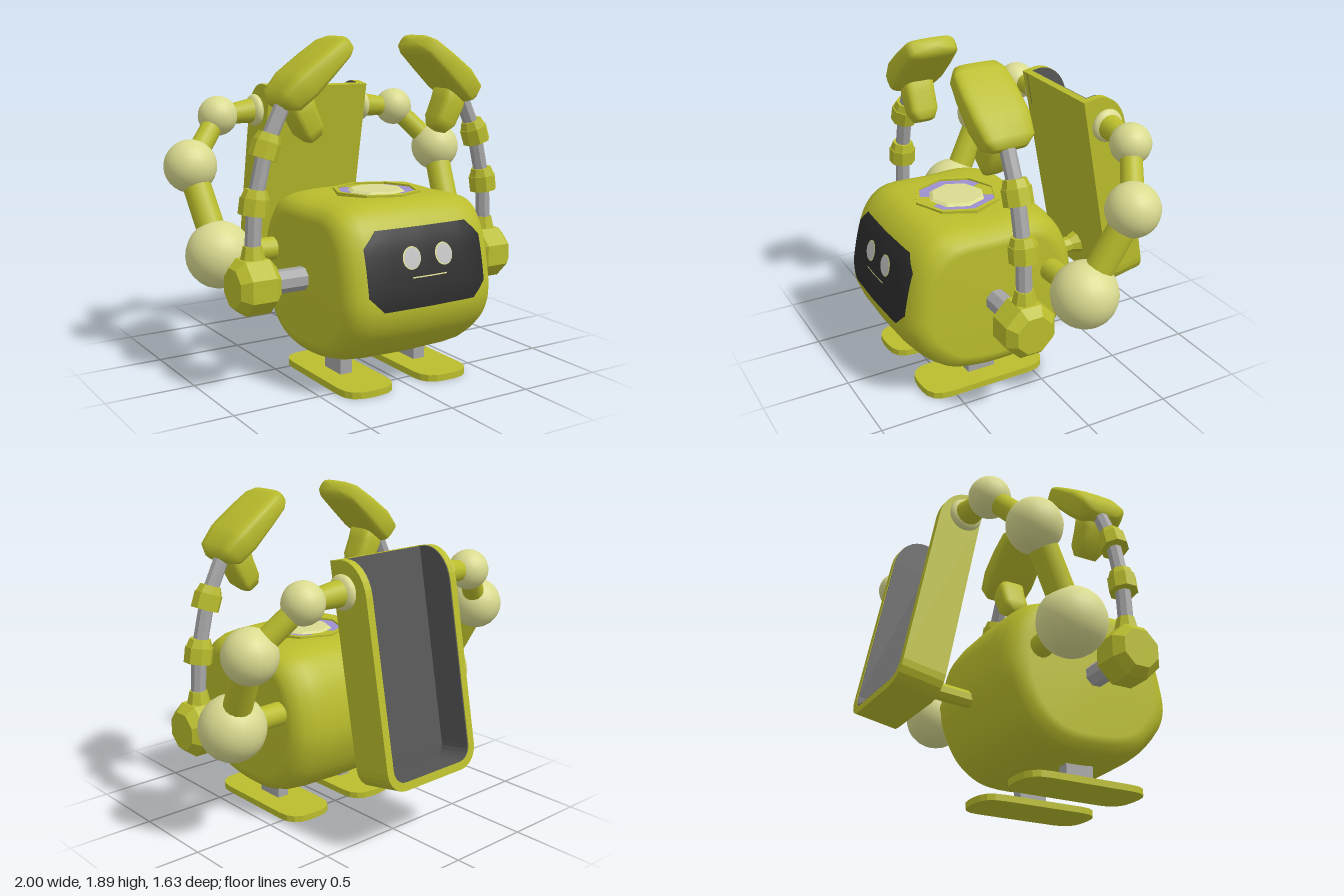
import * as THREE from 'three';

const mat = (name, color) => {
  const m = new THREE.MeshStandardMaterial({ color });
  m.name = name;
  return m;
};
const V = (x, y, z) => new THREE.Vector3(x, y, z);

// Facet a geometry so that every face shades flat
function flat(g) {
  const f = g.index ? g.toNonIndexed() : g;
  f.computeVertexNormals();
  return f;
}

// Smooth skin over rings of points, each counter-clockwise about the travel direction, with closed ends
function loft(rings) {
  const n = rings[0].length, pos = [], idx = [];
  rings.forEach(r => r.forEach(p => pos.push(p.x, p.y, p.z)));
  for (let i = 0; i < rings.length - 1; i++) {
    for (let j = 0; j < n; j++) {
      const a = i * n + j, b = i * n + (j + 1) % n;
      idx.push(a, b, b + n, a, b + n, a + n);
    }
  }
  [0, rings.length - 1].forEach(k => {
    const c = rings[k].reduce((s, p) => s.add(p), V(0, 0, 0)).divideScalar(n);
    const ci = pos.length / 3;
    pos.push(c.x, c.y, c.z);
    for (let j = 0; j < n; j++) {
      const a = k * n + j, b = k * n + (j + 1) % n;
      if (k) idx.push(ci, a, b); else idx.push(ci, b, a);
    }
  });
  const g = new THREE.BufferGeometry();
  g.setAttribute('position', new THREE.Float32BufferAttribute(pos, 3));
  g.setIndex(idx);
  g.computeVertexNormals();
  return g;
}

// Rounded-rectangle sections [x, y, halfThickness, halfWidth] along a path in the xy plane
function mitt(sections, s) {
  const rp = t => Math.sign(t) * Math.pow(Math.abs(t), 0.5);
  return loft(sections.map(([x, y, t, w], i) => {
    const p = sections[Math.max(0, i - 1)], q = sections[Math.min(sections.length - 1, i + 1)];
    const dir = V((q[0] - p[0]) * s, q[1] - p[1], 0).normalize();
    const u = V(0, 0, 1), v = dir.clone().cross(u);
    return Array.from({ length: 24 }, (_, k) => {
      const a = k / 24 * Math.PI * 2;
      return V(x * s, y, 0.28).addScaledVector(u, w * rp(Math.cos(a))).addScaledVector(v, t * rp(Math.sin(a)));
    });
  }));
}

export function createModel() {
  const root = new THREE.Group();
  root.name = 'robot';
  const yellow = mat('yellowGreen', 0xbabd2c), cream = mat('paleYellow', 0xdadb90);
  const grey = mat('metalGrey', 0xa6a6a6), dark = mat('screenBlack', 0x2c2c2c);
  const lining = mat('liningGrey', 0x565656), purple = mat('purple', 0x9c90cf);
  const white = mat('eyeGrey', 0xc4c4c4);

  const add = (name, geo, m, parent = root) => {
    const mesh = new THREE.Mesh(geo, m);
    mesh.name = name;
    parent.add(mesh);
    return mesh;
  };
  // Cylinder or cone between two points; low side counts are faceted
  const limb = (name, a, b, ra, rb, m, seg = 8) => {
    let g = new THREE.CylinderGeometry(rb, ra, a.distanceTo(b), seg);
    if (seg <= 8) g = flat(g.rotateY(Math.PI / 8));
    const mesh = add(name, g, m);
    mesh.position.copy(a).lerp(b, 0.5);
    mesh.quaternion.setFromUnitVectors(V(0, 1, 0), b.clone().sub(a).normalize());
    return mesh;
  };
  const ball = (name, c, r, m) =>
    add(name, new THREE.SphereGeometry(r, 20, 14), m).position.copy(c);

  // Body: side profile [z, y] scaled down towards both flanks
  const profile = [[0, 1.03], [0.28, 1.03], [0.55, 1.03], [0.64, 0.99], [0.72, 0.89], [0.79, 0.64], [0.805, 0.49],
    [0.77, 0.38], [0.70, 0.29], [0.58, 0.19], [0.38, 0.14], [0.09, 0.14], [-0.03, 0.18], [-0.15, 0.28],
    [-0.245, 0.47], [-0.265, 0.62], [-0.22, 0.84], [-0.12, 0.98]].map(([z, y]) => V(0, y, z));
  const outline = new THREE.CatmullRomCurve3(profile, true).getPoints(72).slice(0, -1);
  const half = [[0.47, 0.74], [0.46, 0.83], [0.42, 0.92], [0.35, 0.967], [0.25, 0.988]];
  const stations = [...half.map(([x, k]) => [-x, k]), [0, 1], ...half.slice().reverse()];
  const body = add('body', loft(stations.map(([x, k]) =>
    outline.map(p => V(x, 0.59 + (p.y - 0.59) * k, 0.27 + (p.z - 0.27) * k)))), yellow);
  body.updateMatrixWorld();

  // Lay a flat sheet on the front of the body
  const ray = new THREE.Raycaster();
  const drape = (g, lift) => {
    const p = g.attributes.position;
    for (let i = 0; i < p.count; i++) {
      ray.set(V(p.getX(i), p.getY(i), 3), V(0, 0, -1));
      const hit = ray.intersectObject(body)[0];
      p.setZ(i, (hit ? hit.point.z : 0.75) + lift);
    }
    g.computeVertexNormals();
    return g;
  };

  // Face screen with cut corners
  const screen = new THREE.PlaneGeometry(0.74, 0.41, 20, 10);
  const sp = screen.attributes.position;
  for (let i = 0; i < sp.count; i++) {
    const cut = Math.max(0, Math.abs(sp.getY(i)) - 0.123);
    sp.setX(i, sp.getX(i) * (0.37 - cut) / 0.37);
  }
  add('faceScreen', drape(screen.translate(0, 0.705, 0), 0.007), dark);
  for (const s of [-1, 1]) {
    const eye = (r, lift) => drape(new THREE.CircleGeometry(r, 20).scale(0.93, 1, 1)
      .rotateZ(s * 0.4).translate(s * 0.102, 0.76, 0), lift);
    add('eyeOutline', eye(0.06, 0.012), cream);
    add('eye', eye(0.054, 0.016), white);
  }
  add('mouth', drape(new THREE.PlaneGeometry(0.22, 0.007, 8, 1).translate(0, 0.66, 0), 0.013), cream);

  // Octagonal hatch on top
  const oct = r => Array.from({ length: 8 }, (_, i) =>
    new THREE.Vector2(r * Math.sin(i * Math.PI / 4), r * Math.cos(i * Math.PI / 4)));
  const rim = new THREE.Shape(oct(0.25));
  rim.holes.push(new THREE.Path(oct(0.225).reverse()));
  add('hatchRim', new THREE.ExtrudeGeometry(rim, { depth: 0.045, bevelEnabled: false })
    .rotateX(-Math.PI / 2).translate(0, 1.0, 0.28), yellow);
  const disc = (name, r0, r1, y0, y1, m) =>
    add(name, flat(new THREE.CylinderGeometry(r1, r0, y1 - y0, 8)), m).position.set(0, (y0 + y1) / 2, 0.28);
  disc('hatchRing', 0.23, 0.23, 1.0, 1.034, purple);
  disc('hatchLid', 0.17, 0.145, 1.03, 1.046, cream);

  // Paired limbs
  for (const s of [-1, 1]) {
    const P = (x, y, z = 0.28) => V(s * x, y, z);

    // Foot and leg
    const w = 0.158, l = 0.38, c = 0.13;
    const sole = new THREE.Shape();
    sole.moveTo(-w, -l + c);
    sole.quadraticCurveTo(-w, -l, -w + c, -l).lineTo(w - c, -l).quadraticCurveTo(w, -l, w, -l + c);
    sole.lineTo(w, l - c).quadraticCurveTo(w, l, w - c, l).lineTo(-w + c, l).quadraticCurveTo(-w, l, -w, l - c);
    add('foot', new THREE.ExtrudeGeometry(sole, { depth: 0.037, bevelEnabled: false, curveSegments: 4 })
      .rotateX(-Math.PI / 2), yellow).position.set(s * 0.247, 0, 0.28);
    add('leg', new THREE.BoxGeometry(0.075, 0.16, 0.17), grey).position.set(s * 0.247, 0.115, 0.28);

    // Front arm: shoulder drum, rods and joints
    limb('shoulderShaft', P(0.42, 0.595), P(0.68, 0.595), 0.066, 0.066, grey);
    limb('shoulderDrum', P(0.65, 0.595), P(0.70, 0.595), 0.1, 0.157, yellow);
    limb('shoulderDrum', P(0.70, 0.595), P(0.84, 0.595), 0.157, 0.157, yellow);
    limb('shoulderDrum', P(0.84, 0.595), P(0.89, 0.595), 0.157, 0.11, yellow);
    limb('shoulderCollar', P(0.77, 0.70), P(0.77, 0.81), 0.075, 0.05, yellow);
    const path = [P(0.77, 0.78), P(0.755, 1.035), P(0.685, 1.325), P(0.575, 1.55)];
    for (let i = 0; i < 3; i++) limb('armRod', path[i], path[i + 1], 0.043, 0.043, grey);
    for (let i = 1; i < 3; i++) {
      const d = path[i + 1].clone().sub(path[i - 1]).normalize();
      const at = t => path[i].clone().addScaledVector(d, t);
      limb('armJoint', at(-0.065), at(0.025), 0.08, 0.08, yellow);
      limb('armJointTop', at(0.025), at(0.07), 0.074, 0.06, yellow);
    }

    // Mitten hand with thumb
    add('palm', mitt([[0.61, 1.53, 0.03, 0.10], [0.585, 1.56, 0.075, 0.145], [0.50, 1.64, 0.085, 0.165],
      [0.38, 1.74, 0.072, 0.165], [0.28, 1.82, 0.06, 0.155], [0.24, 1.848, 0.046, 0.125]], s), yellow);
    add('thumb', mitt([[0.51, 1.60, 0.07, 0.09], [0.485, 1.50, 0.075, 0.09],
      [0.435, 1.40, 0.068, 0.088], [0.405, 1.355, 0.045, 0.06]], s), yellow);

    // Rear arm: chain of balls reaching the tray
    const b1 = P(0.797, 0.695, -0.077), b2 = P(0.85, 1.16, -0.322), b3 = P(0.615, 1.42, -0.458);
    const b4 = P(0.37, 1.44, -0.475);
    limb('rearShoulder', P(0.4, 0.695, -0.06), b1, 0.066, 0.066, yellow, 16);
    limb('rearUpperArm', b1, b2, 0.08, 0.078, yellow, 16);
    limb('rearForearm', b2, b3, 0.065, 0.06, yellow, 16);
    limb('rearWrist', b3, b4, 0.05, 0.075, yellow, 16);
    ball('rearShoulderBall', b1, 0.187, cream);
    ball('rearElbowBall', b2, 0.15, cream);
    ball('rearWristBall', b3, 0.115, cream);
    const pad = add('trayPivot', new THREE.SphereGeometry(0.095, 20, 14), cream);
    pad.position.copy(b4);
    pad.scale.x = 0.45;
  }

  // Strut from the body to the tray
  limb('trayStrut', V(0, 0.51, -0.2), V(0, 0.535, -0.5), 0.048, 0.048, yellow);
  limb('trayStrutFoot', V(0, 0.535, -0.49), V(0, 0.54, -0.55), 0.05, 0.075, yellow);

  // Leaning tray, open at the back and the top
  const tray = new THREE.Group();
  tray.name = 'tray';
  tray.position.set(0, 0.36, -0.575);
  tray.rotation.x = 0.19;
  root.add(tray);
  const cup = (hw, v0, top, r) => {
    const pts = [new THREE.Vector2(-hw, top)];
    for (const side of [-1, 1]) {
      for (let i = 0; i <= 5; i++) {
        const a = Math.PI * (side < 0 ? 1 + i / 10 : 1.5 + i / 10);
        pts.push(new THREE.Vector2(side * (hw - r) + r * Math.cos(a), v0 + r + r * Math.sin(a)));
      }
    }
    pts.push(new THREE.Vector2(hw, top));
    return pts;
  };
  const slab = (name, pts, d0, d1, m) => add(name, new THREE.ExtrudeGeometry(new THREE.Shape(pts),
    { depth: d1 - d0, bevelEnabled: false }).translate(0, 0, -d1), m, tray);
  const cheek = (name, x0, x1, depth, m) => {
    const sh = new THREE.Shape();
    sh.moveTo(0, 1.04);
    sh.lineTo(depth, 1.04);
    sh.bezierCurveTo(depth, 1.16, depth - 0.08, 1.24, 0.08, 1.242);
    sh.lineTo(0, 1.242);
    add(name, new THREE.ExtrudeGeometry(sh, { depth: x1 - x0, bevelEnabled: false, curveSegments: 8 })
      .rotateY(Math.PI / 2).translate(x0, 0, 0), m, tray);
  };
  const outer = top => cup(0.335, 0, top, 0.12), inner = top => cup(0.29, 0.045, top, 0.08);
  slab('trayFloor', outer(1.242), 0, 0.04, yellow);
  slab('trayWall', [...outer(1.04), ...inner(1.04).reverse()], 0.02, 0.243, yellow);
  slab('trayFloorLining', inner(1.24), 0.04, 0.046, lining);
  slab('trayWallLining', [...inner(1.04), ...cup(0.284, 0.051, 1.04, 0.075).reverse()], 0.04, 0.24, lining);
  cheek('trayCheek', 0.29, 0.335, 0.243, yellow);
  cheek('trayCheek', -0.335, -0.29, 0.243, yellow);
  cheek('trayCheekLining', 0.284, 0.29, 0.24, lining);
  cheek('trayCheekLining', -0.29, -0.284, 0.24, lining);
  return root;
}
